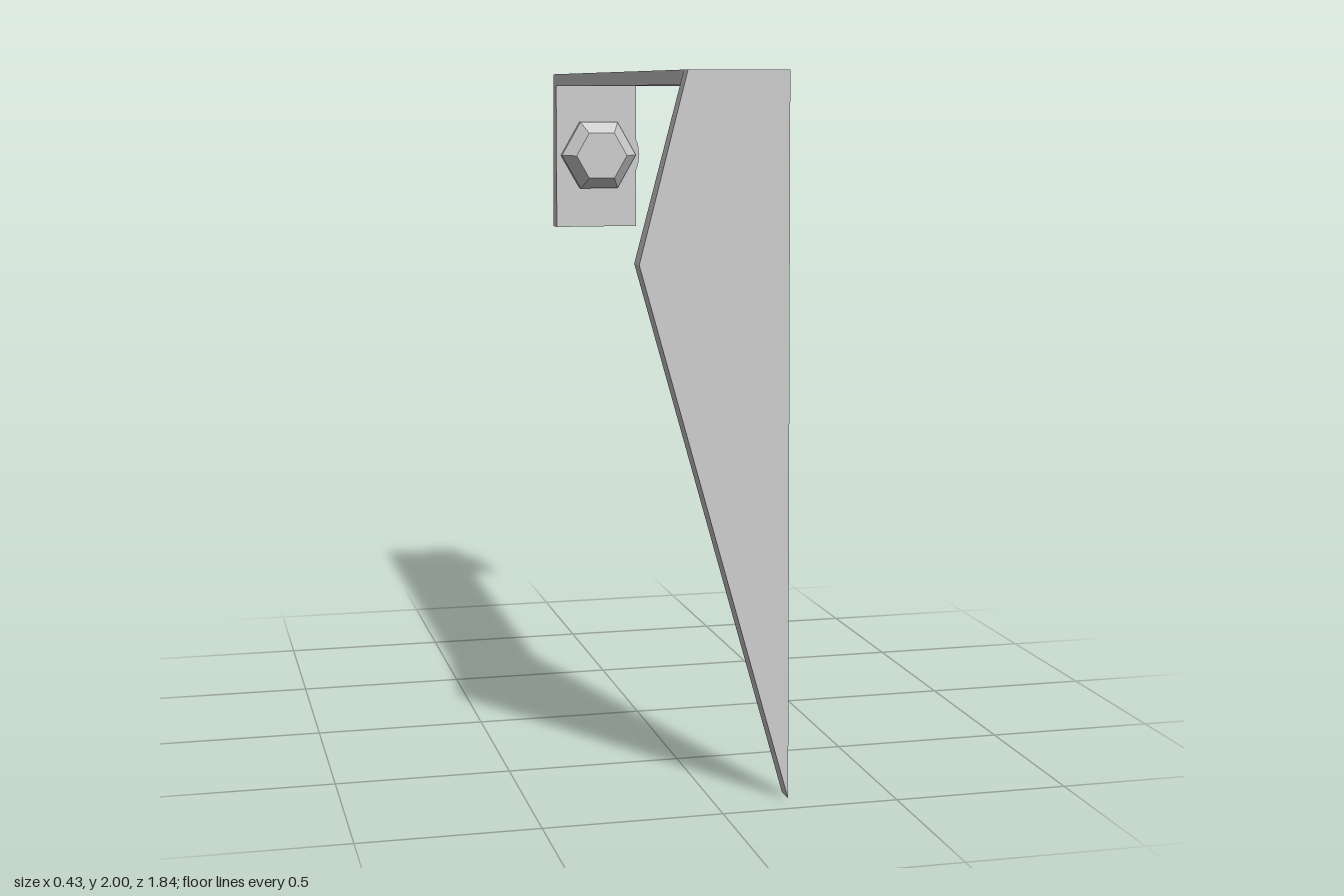
import * as THREE from 'three';

const material = new THREE.MeshStandardMaterial({ color: 0xcccccc, flatShading: true });

function addMesh(parent, name, geometry) {
  const mesh = new THREE.Mesh(geometry, material);
  mesh.name = name;
  parent.add(mesh);
  return mesh;
}

// Upright plate: an outline in x/y from zBack to zFront; rule(x, y, z) returns the leaning z
function plate(points, zBack, zFront, rule) {
  const shape = new THREE.Shape(points.map(([x, y]) => new THREE.Vector2(x, y)));
  const geo = new THREE.ExtrudeGeometry(shape, { depth: zFront - zBack, bevelEnabled: false });
  geo.translate(0, 0, zBack);
  const p = geo.attributes.position;
  for (let i = 0; i < p.count; i++) p.setZ(i, rule(p.getX(i), p.getY(i), p.getZ(i)));
  geo.computeVertexNormals();
  return geo;
}

export function createModel() {
  const group = new THREE.Group();

  // Long flat bar joining both plates
  const bar = addMesh(group, 'topBar', new THREE.BoxGeometry(0.28, 0.04, 1.78));
  bar.position.set(0.06, 1.98, 0);

  // Pointed front plate, slightly thicker below its top edge
  addMesh(group, 'frontBlade', plate(
    [[-0.08, 2], [-0.215, 1.49], [0.21, 0], [0.2, 2]], 0.862, 0.92,
    (x, y, z) => (z > 0.9 && y > 1.9 ? 0.905 : z)));

  // Short rear plate, thickening towards its lower end
  addMesh(group, 'rearPlate', plate(
    [[-0.08, 1.48], [0.2, 1.48], [0.2, 2], [-0.08, 2]], -0.912, -0.855,
    (x, y, z) => (z < -0.9 && y > 1.9 ? -0.897 : z)));

  // Screw through the rear plate
  const screw = new THREE.Group();
  screw.name = 'screw';
  screw.position.set(0.077, 1.725, 0);
  group.add(screw);

  const shank = addMesh(screw, 'screwBody', new THREE.CylinderGeometry(0.136, 0.136, 0.044, 24));
  shank.rotation.x = Math.PI / 2;
  shank.position.z = -0.882;

  // Head disc with a cross-shaped recess
  const disc = new THREE.Shape().absarc(0, 0, 0.136, 0, Math.PI * 2, false);
  const cross = [];
  for (let i = 0; i < 4; i++) {
    const a = i * Math.PI / 2 + 0.65;
    for (const [r, d] of [[0.1, -0.22], [0.1, 0.22], [0.042, Math.PI / 4]]) {
      cross.push(new THREE.Vector2(r * Math.cos(a + d), r * Math.sin(a + d)));
    }
  }
  disc.holes.push(new THREE.Path(cross));
  const head = addMesh(screw, 'screwHead',
    new THREE.ExtrudeGeometry(disc, { depth: 0.018, bevelEnabled: false, curveSegments: 12 }));
  head.position.z = -0.92;

  // Tapered six-sided nut on the inner face
  const nutProfile = [[0, -0.87], [0.13, -0.87], [0.13, -0.835], [0.088, -0.79], [0, -0.79]];
  const nutGeo = new THREE.LatheGeometry(
    nutProfile.map(([r, z]) => new THREE.Vector2(r, z)), 6, Math.PI / 2);
  const nut = addMesh(screw, 'nut', nutGeo);
  nut.position.x = -0.012;
  nut.rotation.x = Math.PI / 2;

  return group;
}
